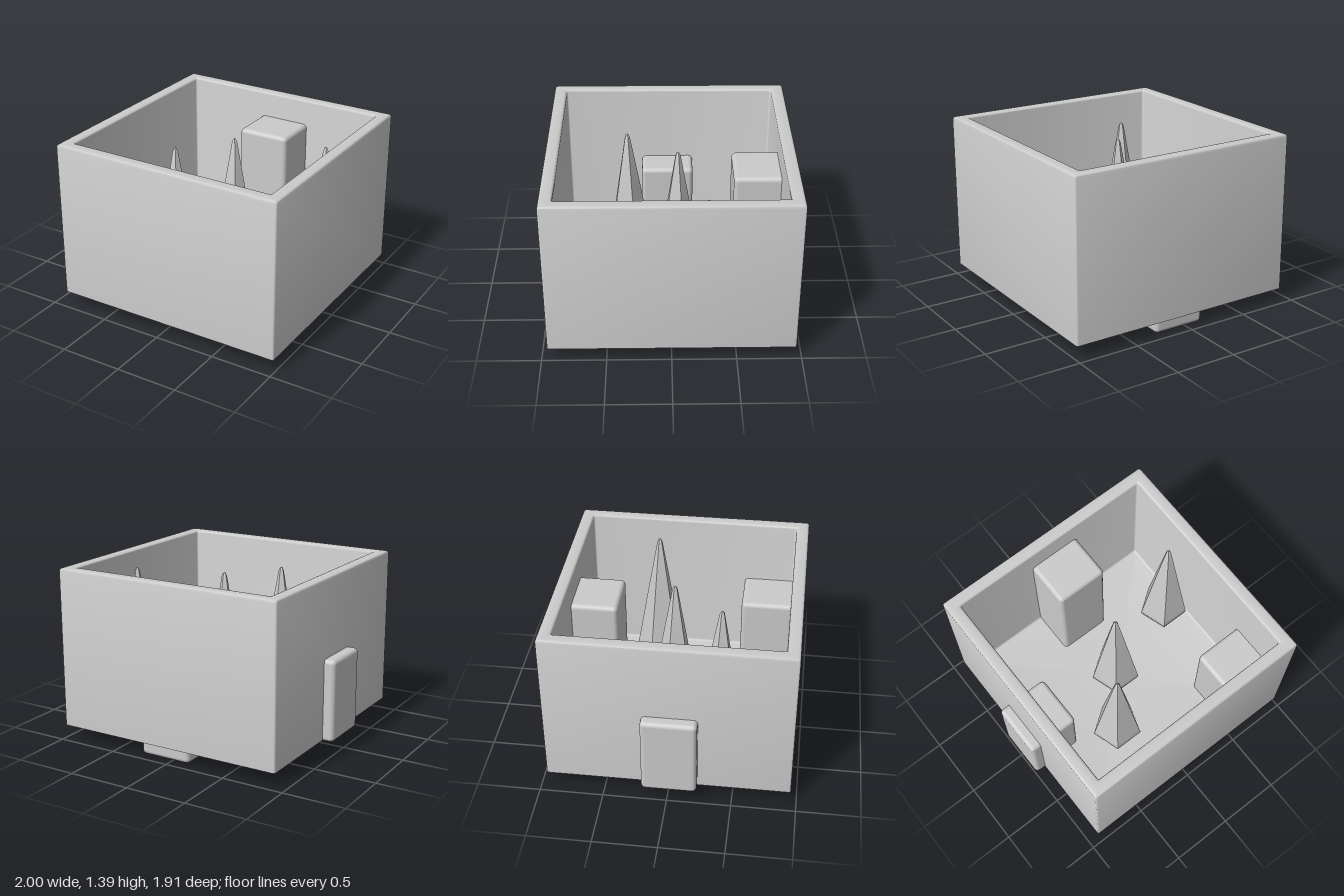
import * as THREE from 'three';
import { toCreasedNormals } from 'three/addons/utils/BufferGeometryUtils.js';
import { RoundedBoxGeometry } from 'three/addons/geometries/RoundedBoxGeometry.js';

const material = new THREE.MeshStandardMaterial({ color: 0xcccccc, side: THREE.DoubleSide });

function addPart(group, name, geometry, x, y, z) {
  const mesh = new THREE.Mesh(geometry, material);
  mesh.name = name;
  mesh.position.set(x, y, z);
  group.add(mesh);
}

// Square ring with slightly rounded corners
function squareRing(half, y) {
  const r = Math.min(0.015, half), steps = 3, ring = [];
  for (let corner = 0; corner < 4; corner++) {
    const mid = (corner + 0.5) * Math.PI / 2;
    const cx = Math.sign(Math.cos(mid)) * (half - r);
    const cz = Math.sign(Math.sin(mid)) * (half - r);
    for (let s = 0; s <= steps; s++) {
      const a = (corner + s / steps) * Math.PI / 2;
      ring.push([cx + r * Math.cos(a), y, cz + r * Math.sin(a)]);
    }
  }
  return ring;
}

// Quarter-round bevel points for the [half width, height] profile
function bevel(cx, cy, r, from) {
  return [0, 1, 2, 3].map((i) => {
    const a = from + i * Math.PI / 6;
    return [cx + r * Math.cos(a), cy + r * Math.sin(a)];
  });
}

// Skins a profile of square rings
function squareLoft(profile) {
  const rings = profile.map(([half, y]) => squareRing(half, y));
  const n = rings[0].length, index = [];
  for (let i = 0; i < rings.length - 1; i++) {
    for (let j = 0; j < n; j++) {
      const a = i * n + j, b = i * n + (j + 1) % n;
      index.push(a, a + n, b + n, a, b + n, b);
    }
  }
  const geometry = new THREE.BufferGeometry();
  geometry.setAttribute('position', new THREE.Float32BufferAttribute(rings.flat(2), 3));
  geometry.setIndex(index);
  return toCreasedNormals(geometry, 0.65);
}

export function createModel() {
  const group = new THREE.Group();
  group.name = 'spikedPit';

  // Hollow double wall: open skirt below, rounded rim, inner cup with floor
  const floorBevel = bevel(0.833, 0.185, 0.02, -Math.PI / 2).reverse();
  addPart(group, 'boxShell', squareLoft([
    [0.955, 0.11],
    ...bevel(0.935, 1.37, 0.02, 0),
    ...bevel(0.873, 1.37, 0.02, Math.PI / 2),
    ...floorBevel,
    [0.02, 0.165],
  ]), 0.042, 0, -0.002);
  addPart(group, 'floorCentre', new THREE.BoxGeometry(0.06, 0.002, 0.06), 0.042, 0.165, -0.002);

  // Rounded blocks: x, z, bottom, top
  const blocks = [
    ['backBlock', 0.065, -0.705, 0, 1.18],
    ['sideBlock', -0.785, 0.015, 0.1, 0.76],
    ['cornerBlock', 0.715, 0.655, 0.1, 0.86],
  ];
  for (const [name, x, z, low, high] of blocks) {
    addPart(group, name, new RoundedBoxGeometry(0.43, high - low, 0.43, 4, 0.035), x, (low + high) / 2, z);
  }

  // Five-sided spikes with bevelled bases and blunt tips
  const spikeProfile = [
    [0, 0.14], [0.16, 0.14], [0.19, 0.165], [0.203, 0.21], [0.192, 0.27],
    [0.09, 0.87], [0.022, 1.26], [0.012, 1.285], [0, 1.295],
  ].map(([r, y]) => new THREE.Vector2(r, y));
  const spike = toCreasedNormals(new THREE.LatheGeometry(spikeProfile, 5, Math.PI), 0.6);
  for (const [x, z] of [[0.055, -0.06], [-0.24, 0.34], [0.75, -0.275]]) {
    addPart(group, 'spike', spike, x, 0, z);
  }
  return group;
}
